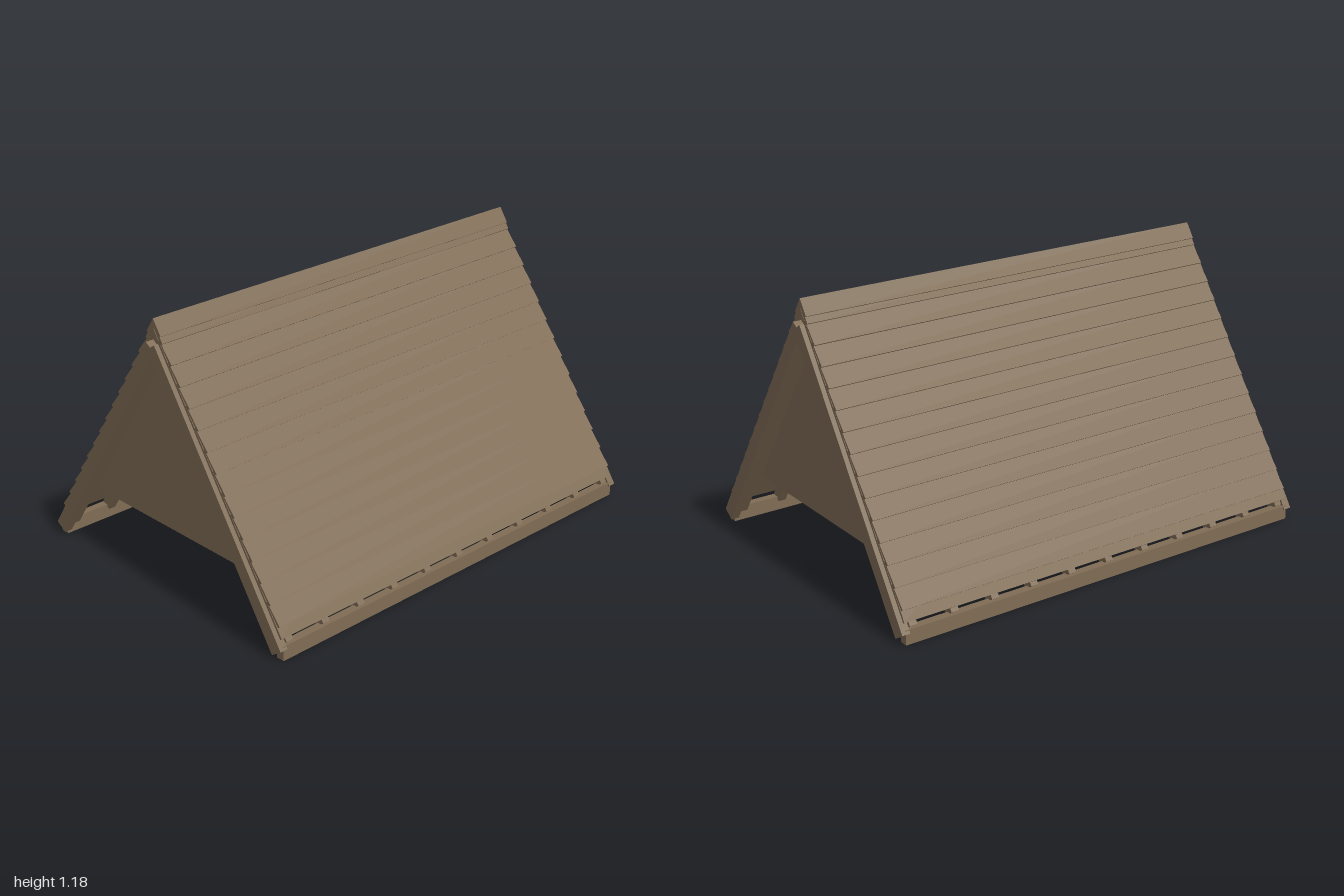
import * as THREE from 'three';

const wood = new THREE.MeshStandardMaterial({ color: 0x7f6c55 });
wood.name = 'weathered wood';

const APEX = 1.12;                 // where the two rafter top planes meet
const SIN = 0.832, COS = 0.555;    // roof pitch

// s runs down the slope from the apex, n points out of the slope; result is [z, y]
const onSlope = ([s, n]) => [s * COS + n * SIN, APEX - s * SIN + n * COS];

// Extrude a [z, y] outline along x, centred on x
function prism(name, points, width, x = 0) {
  const shape = new THREE.Shape(points.map(([z, y]) => new THREE.Vector2(z, y)));
  const geometry = new THREE.ExtrudeGeometry(shape, { depth: width, bevelEnabled: false });
  geometry.rotateY(-Math.PI / 2);
  geometry.translate(x + width / 2, 0, 0);
  const mesh = new THREE.Mesh(geometry, wood);
  mesh.name = name;
  return mesh;
}

const slopePart = (name, points, width, x) => prism(name, points.map(onSlope), width, x);
const plank = (s0, s1, n0, n1) => [[s0, n0], [s1, n0], [s1, n1], [s0, n1]];
// Plank whose upper end is mitred at the ridge
const mitred = (s1, n0, n1) => [[-1.5 * n0, n0], [s1, n0], [s1, n1], [-1.5 * n1, n1]];

function roofSide(name) {
  const side = new THREE.Group();
  side.name = name;

  // Wall plate along the eave
  const plate = new THREE.Mesh(new THREE.BoxGeometry(1.96, 0.062, 0.037), wood);
  plate.position.set(0, 0.031, 0.689);
  plate.name = 'wallPlate';
  side.add(plate);

  // Barge boards at both ends
  for (const x of [-0.982, 0.982]) {
    side.add(slopePart('bargeBoard', plank(0.045, 1.287, -0.06, 0), 0.036, x));
  }

  // Rafters
  for (let i = -5; i <= 5; i++) {
    side.add(slopePart('rafter', plank(0.04, 1.262, -0.048, 0), 0.034, i * 0.188));
  }

  // Sheathing, with its lower edge showing as a starter strip
  side.add(slopePart('sheathing', mitred(1.244, 0, 0.01), 1.96));

  // Overlapping courses of boards
  for (let k = 0; k < 14; k++) {
    const butt = (1.1355 - (0.138 + k * 0.0733)) / SIN;
    const head = butt - 0.105;
    const outline = head > 0
      ? [[head, 0.01], [butt, 0.016], [butt, 0.028], [head, 0.016]]
      : mitred(butt, 0.013, 0.026);
    side.add(slopePart('roofBoard', outline, 1.96));
  }

  // Ridge cap
  side.add(slopePart('ridgeCap', mitred(0.026, 0.023, 0.033), 1.96));
  return side;
}

export function createModel() {
  const model = new THREE.Group();
  model.name = 'gableRoof';

  const front = roofSide('frontSlope');
  const back = roofSide('backSlope');
  back.rotation.y = Math.PI;
  model.add(front, back);

  // Triangular gable panels set in from the ends
  for (const x of [-0.9, 0.9]) {
    model.add(prism('gablePanel', [[-0.53, 0.245], [0.53, 0.245], [0, 1.04]], 0.02, x));
  }
  return model;
}
